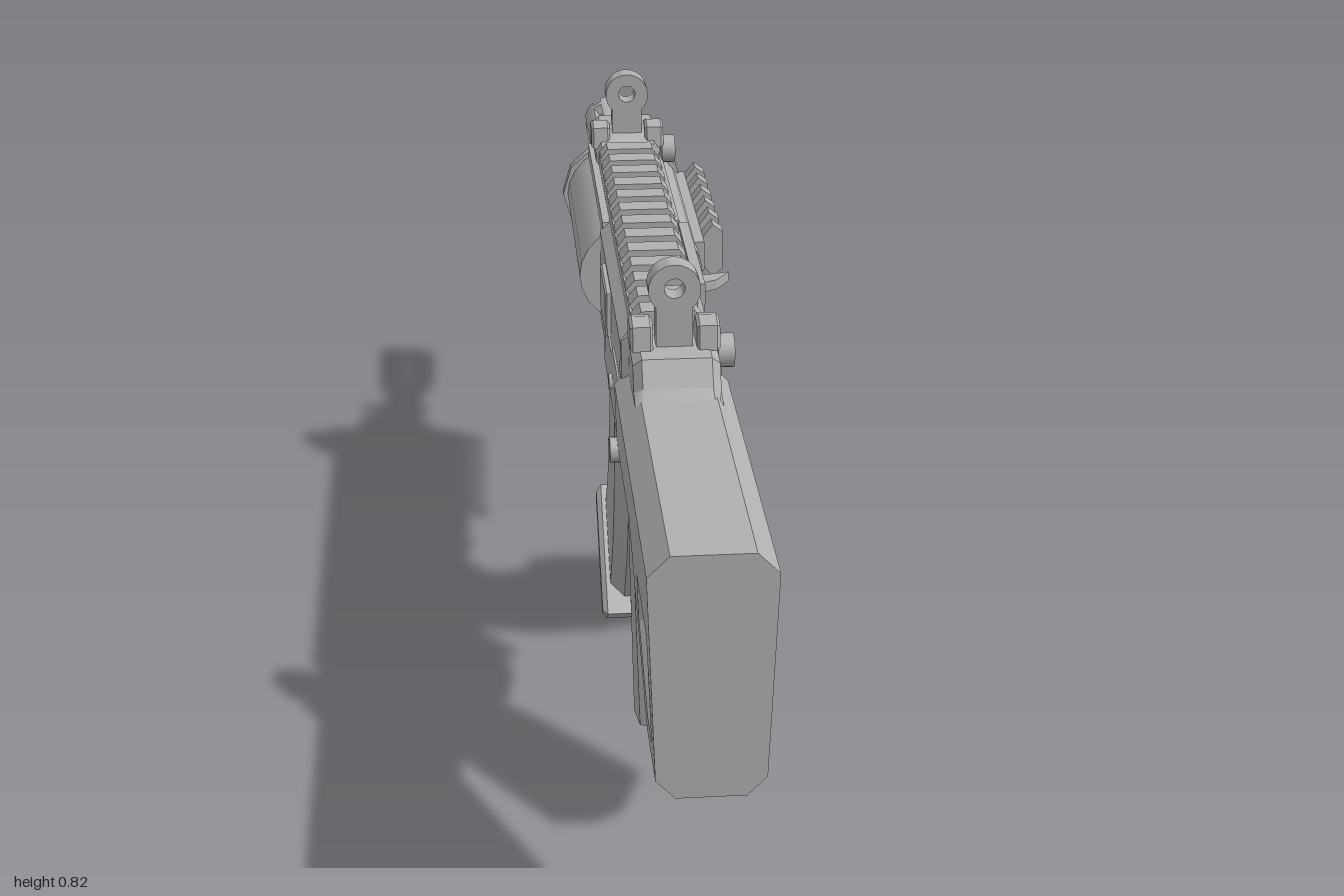
import * as THREE from 'three';
import { toCreasedNormals, mergeVertices } from 'three/addons/utils/BufferGeometryUtils.js';

const metal = new THREE.MeshStandardMaterial({ color: 0xb0b0b0 });
metal.name = 'plain grey';

export function createModel() {
  const root = new THREE.Group();
  root.name = 'rifle';
  const body = new THREE.Group();
  body.name = 'body';
  body.position.x = -0.016;
  root.add(body);

  function add(name, geo, x = 0, y = 0, z = 0) {
    const m = new THREE.Mesh(geo, metal);
    m.name = name;
    m.position.set(x, y, z);
    body.add(m);
    return m;
  }
  const toShape = (pts) => new THREE.Shape(pts.map(([a, b]) => new THREE.Vector2(a, b)));

  // Side profile in [z, y], extruded across x; chamfer is squared off at zMin / zMax
  function side(name, pts, half, { bevel = 0, hole, x = 0, zMin = -9, zMax = 9, taper } = {}) {
    const s = toShape(pts);
    if (hole) s.holes.push(toShape(hole));
    const depth = 2 * (half - bevel);
    const g = new THREE.ExtrudeGeometry(s, {
      depth, bevelEnabled: bevel > 0, bevelSize: bevel, bevelThickness: bevel,
      bevelOffset: -bevel, bevelSegments: 1,
    });
    g.translate(0, 0, -depth / 2).rotateY(-Math.PI / 2);
    const p = g.attributes.position;
    for (let i = 0; i < p.count; i++) {
      const z = p.getZ(i);
      if (z > zMax - bevel * 1.05) p.setZ(i, zMax);
      if (z < zMin + bevel * 1.05) p.setZ(i, zMin);
      if (taper) p.setX(i, p.getX(i) * taper(p.getY(i)));
    }
    g.computeVertexNormals();
    return add(name, toCreasedNormals(g, 0.5), x);
  }

  // Cross-section in [x, y], extruded from z0 to z1
  function bar(name, pts, z0, z1) {
    const g = new THREE.ExtrudeGeometry(toShape(pts), { depth: z1 - z0, bevelEnabled: false });
    return add(name, toCreasedNormals(g, 0.5), 0, 0, z0);
  }

  // Box from min and max corners
  const box = (name, x0, x1, y0, y1, z0, z1) =>
    add(name, new THREE.BoxGeometry(x1 - x0, y1 - y0, z1 - z0), (x0 + x1) / 2, (y0 + y1) / 2, (z0 + z1) / 2);

  // Cylinder along z or x
  function cyl(name, r, z0, z1, y, { r2 = r, n = 20, sx = 1, sy = 1 } = {}) {
    const g = new THREE.CylinderGeometry(r, r2, z1 - z0, n).rotateX(Math.PI / 2).scale(sx, sy, 1);
    return add(name, g, 0, y, (z0 + z1) / 2);
  }
  const pin = (name, r, x0, x1, y, z, n = 16) =>
    add(name, new THREE.CylinderGeometry(r, r, x1 - x0, n).rotateZ(Math.PI / 2), (x0 + x1) / 2, y, z);

  // Loft of eight-sided rings; each station is [rear [z, y], front [z, y], half width]
  function loft(name, stations, cx, ct) {
    const pos = [], idx = [], n = 8, last = stations.length - 1;
    for (const [r, f, w] of stations) {
      const ring = [[-w + cx, 0], [w - cx, 0], [w, ct], [w, 1 - ct], [w - cx, 1], [cx - w, 1], [-w, 1 - ct], [-w, ct]];
      for (const [x, t] of ring) pos.push(x, r[1] + (f[1] - r[1]) * t, r[0] + (f[0] - r[0]) * t);
    }
    for (let i = 0; i < last; i++) for (let j = 0; j < n; j++) {
      const a = i * n + j, b = i * n + (j + 1) % n;
      idx.push(a, b, b + n, a, b + n, a + n);
    }
    for (let j = 1; j < n - 1; j++) idx.push(0, j + 1, j, last * n, last * n + j, last * n + j + 1);
    // turn the faces outward if the signed volume is negative
    const v = (i) => new THREE.Vector3().fromArray(pos, i * 3);
    let vol = 0;
    for (let i = 0; i < idx.length; i += 3) vol += v(idx[i]).dot(v(idx[i + 1]).cross(v(idx[i + 2])));
    if (vol < 0) idx.reverse();
    const g = new THREE.BufferGeometry();
    g.setAttribute('position', new THREE.Float32BufferAttribute(pos, 3));
    g.setIndex(idx);
    return add(name, toCreasedNormals(mergeVertices(g), 0.5));
  }

  // Stock with its triangular opening, narrower towards the bottom
  side('stock', [[1, 0.655], [0.42, 0.655], [0.42, 0.51], [0.65, 0.51], [0.855, 0.31], [1, 0.32]], 0.08, {
    bevel: 0.028, zMax: 1, zMin: 0.42,
    hole: [[0.925, 0.495], [0.82, 0.495], [0.82, 0.47], [0.905, 0.4], [0.925, 0.4]],
    taper: (y) => THREE.MathUtils.lerp(0.85, 1, THREE.MathUtils.clamp((y - 0.31) / 0.3, 0, 1)),
  });
  side('stockHump', [[0.58, 0.64], [0.53, 0.665], [0.51, 0.7], [0.43, 0.705], [0.4, 0.64]], 0.06, { bevel: 0.012 });

  // Receiver and its details
  side('receiver', [[0.43, 0.65], [0.39, 0.675], [-0.15, 0.675], [-0.15, 0.48], [0.36, 0.48], [0.43, 0.505]], 0.066,
    { bevel: 0.022, zMin: -0.15 });
  side('receiverCollar', [[0.44, 0.66], [0.42, 0.7], [0.4, 0.7], [0.37, 0.64], [0.4, 0.56], [0.43, 0.56]], 0.07, { bevel: 0.012 });
  side('magazineWell', [[0.15, 0.52], [-0.05, 0.52], [-0.05, 0.475], [0.14, 0.475]], 0.066);
  side('lowerSeam', [[0.4, 0.59], [0.2, 0.59], [0.17, 0.57], [0.03, 0.57], [0.0, 0.49], [0.36, 0.49]], 0.069);
  side('ejectionPort', [[0.14, 0.665], [-0.14, 0.665], [-0.14, 0.62], [0.1, 0.62], [0.14, 0.605]], 0.008, { x: 0.068 });
  box('portLip', 0.066, 0.08, 0.61, 0.625, -0.14, 0.1);
  side('leftPanel', [[0.13, 0.65], [0, 0.65], [0, 0.58], [0.13, 0.58]], 0.007, { x: -0.068, bevel: 0.003 });
  const handle = new THREE.ExtrudeGeometry(
    toShape([[0.06, 0.02], [0.06, 0.1], [0.1, 0.085], [0.138, 0.095], [0.115, 0.06], [0.085, 0.045]]),
    { depth: 0.016, bevelEnabled: false }).rotateX(Math.PI / 2).scale(1, 1, -1);
  // restore outward faces after the mirrored scale
  handle.attributes.position.array.forEach((_, i, a) => {
    if (i % 9 < 3) [a[i], a[i + 3]] = [a[i + 3], a[i]];
  });
  handle.computeVertexNormals();
  add('chargingHandle', handle, 0, 0.595, 0);
  pin('bodyPin', 0.012, -0.074, 0.074, 0.53, 0.185, 10);
  for (const s of [-1, 1]) {
    pin('selectorHub', 0.018, s * 0.076 - 0.012, s * 0.076 + 0.012, 0.53, 0.43);
    const lever = add('selectorLever', new THREE.BoxGeometry(0.014, 0.018, 0.07), s * 0.08, 0.525, 0.41);
    lever.rotation.x = -0.25;
  }

  // Grip, trigger and guard
  loft('grip', [
    [[0.54, 0.54], [0.36, 0.52], 0.06], [[0.515, 0.47], [0.372, 0.42], 0.06],
    [[0.52, 0.42], [0.392, 0.35], 0.06], [[0.65, 0.205], [0.47, 0.135], 0.06],
  ], 0.03, 0.18);
  side('triggerGuard', [[0.38, 0.49], [0.38, 0.375], [0.29, 0.357], [0.2, 0.378], [0.165, 0.49]], 0.03,
    { hole: [[0.366, 0.482], [0.366, 0.387], [0.29, 0.37], [0.208, 0.39], [0.182, 0.482]] });
  side('trigger', [[0.31, 0.49], [0.295, 0.44], [0.31, 0.39], [0.3, 0.388], [0.28, 0.44], [0.28, 0.49]], 0.012);
  side('magazineRelease', [[0.18, 0.49], [0.19, 0.43], [0.22, 0.34], [0.205, 0.345], [0.16, 0.42], [0.14, 0.49]], 0.028);

  // Curved magazine with a rear spine and base plate
  const curve = [
    [[0.14, 0.5], [-0.045, 0.5]], [[0.135, 0.42], [-0.05, 0.42]], [[0.122, 0.34], [-0.065, 0.355]],
    [[0.1, 0.245], [-0.095, 0.285]], [[0.062, 0.15], [-0.14, 0.22]], [[-0.015, 0.03], [-0.195, 0.165]],
  ];
  const mix = (a, b, t) => [a[0] + (b[0] - a[0]) * t, a[1] + (b[1] - a[1]) * t];
  loft('magazine', curve.map(([r, f]) => [mix(r, f, 0.1), f, 0.06]), 0.022, 0.12);
  loft('magazineSpine', curve.map(([r, f]) => [r, mix(r, f, 0.4), 0.028]), 0.004, 0.03);
  side('magazineBase', [[-0.008, 0.025], [-0.04, 0], [-0.208, 0.148], [-0.188, 0.178]], 0.075, { bevel: 0.008 });

  // Top rail
  box('railBed', -0.05, 0.05, 0.65, 0.69, -0.45, 0.375);
  for (let i = 0; i < 13; i++) {
    const z = 0.345 - i * 0.0625;
    bar('railTooth', [[-0.042, 0.685], [0.042, 0.685], [0.05, 0.697], [0.038, 0.712], [-0.038, 0.712], [-0.05, 0.697]], z - 0.019, z + 0.019);
  }

  // Handguard with side and lower rails
  cyl('handguard', 0.1, -0.55, -0.14, 0.578, { n: 24, sy: 0.88 });
  cyl('handguardPlate', 0.108, -0.575, -0.552, 0.578, { n: 12, sy: 0.9 });
  box('handguardTop', -0.062, 0.062, 0.62, 0.668, -0.56, -0.14);
  box('sideRailBed', 0.08, 0.108, 0.562, 0.612, -0.56, -0.19);
  box('lowerRailBed', -0.035, 0.035, 0.478, 0.51, -0.56, -0.18);
  for (let i = 0; i < 6; i++) {
    const z = -0.23 - i * 0.061;
    bar('sideRailTooth', [[0.104, 0.568], [0.124, 0.542], [0.141, 0.555], [0.141, 0.62], [0.124, 0.633], [0.104, 0.607]], z - 0.015, z + 0.015);
  }
  for (let i = 0; i < 4; i++) {
    const z = -0.212 - i * 0.1;
    bar('lowerRailTooth', [[-0.032, 0.488], [-0.046, 0.473], [-0.036, 0.455], [0.036, 0.455], [0.046, 0.473], [0.032, 0.488]], z - 0.021, z + 0.021);
  }

  // Gas block, barrel and front ring
  side('gasBlock', [[-0.56, 0.665], [-0.63, 0.655], [-0.635, 0.55], [-0.56, 0.545]], 0.04, { bevel: 0.012 });
  cyl('barrel', 0.03, -0.81, -0.55, 0.58);
  cyl('barrelCollar', 0.038, -0.71, -0.685, 0.58);
  cyl('gasTube', 0.02, -0.69, -0.62, 0.625);
  box('ringPost', -0.012, 0.012, 0.6, 0.645, -0.685, -0.655);
  add('frontRing', new THREE.TorusGeometry(0.016, 0.007, 8, 16).rotateY(Math.PI / 2), 0, 0.66, -0.67);
  pin('ringPin', 0.012, -0.035, 0.035, 0.64, -0.67, 10);

  // Slotted muzzle piece with an open crown
  function muzzleArc(name, z0, z1, a0, a1) {
    const s = new THREE.Shape();
    s.absarc(0, 0, 0.045, a0, a1, false);
    s.absarc(0, 0, 0.027, a1, a0, true);
    const g = new THREE.ExtrudeGeometry(s, { depth: z1 - z0, bevelEnabled: false, curveSegments: 6 });
    add(name, toCreasedNormals(g, 0.6), 0, 0.578, z0);
  }
  cyl('muzzleBase', 0.045, -0.83, -0.8, 0.578, { r2: 0.045 });
  for (let i = 0; i < 6; i++) {
    const a = i * Math.PI / 3 + 0.2, b = a + Math.PI / 3;
    muzzleArc('muzzleProng', -1, -0.83, a, b - 0.36);
    muzzleArc('muzzleRing', -0.978, -0.96, b - 0.36, b);
  }

  // Folding sights: base ears, knob and a post with a peep hole
  function sight(name, z, y) {
    for (const s of [-1, 1]) {
      const x = s * 0.046;
      side(name + 'Ear', [[z + 0.03, y], [z + 0.025, y + 0.035], [z, y + 0.042], [z - 0.025, y + 0.035], [z - 0.03, y]], 0.016, { x, bevel: 0.004 });
    }
    pin(name + 'Knob', 0.024, 0.06, 0.083, y - 0.012, z, 14);
    const s = new THREE.Shape();
    s.moveTo(-0.025, y - 0.02);
    s.lineTo(0.025, y - 0.02);
    s.lineTo(0.025, 0.76);
    s.absarc(0, 0.785, 0.036, -0.77, Math.PI + 0.77, false);
    s.closePath();
    const h = new THREE.Path();
    h.absarc(0, 0.787, 0.014, 0, Math.PI * 2, true);
    s.holes.push(h);
    const g = new THREE.ExtrudeGeometry(s, { depth: 0.034, bevelEnabled: false, curveSegments: 16 });
    add(name + 'Post', toCreasedNormals(g, 0.6), 0, 0, z - 0.017);
  }
  sight('rearSight', 0.455, 0.7);
  side('frontSightBase', [[-0.43, 0.665], [-0.44, 0.7], [-0.47, 0.73], [-0.54, 0.725], [-0.56, 0.7], [-0.56, 0.665]], 0.055, { bevel: 0.01 });
  sight('frontSight', -0.475, 0.695);
  return root;
}
